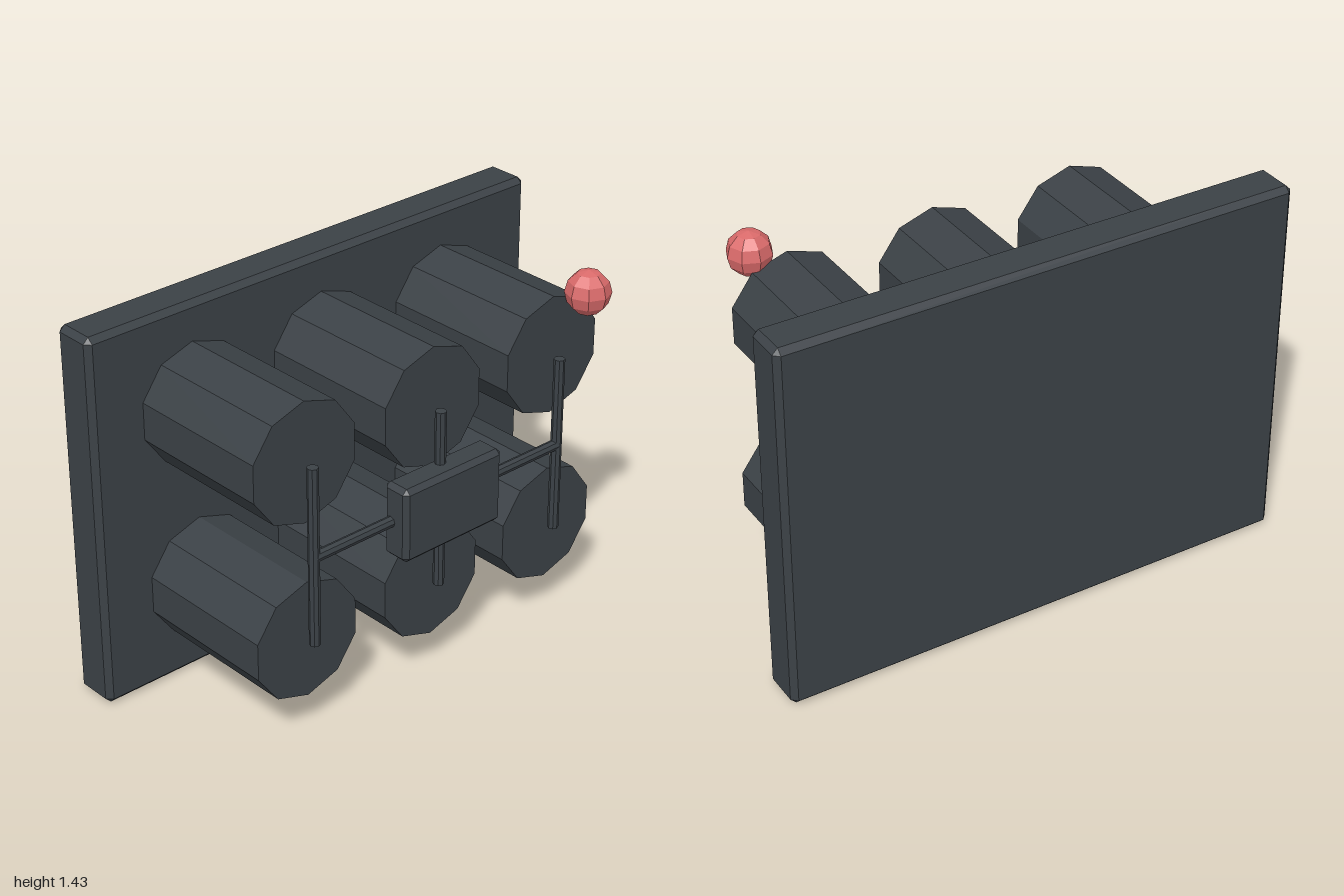
import * as THREE from 'three';
import { ConvexGeometry } from 'three/addons/geometries/ConvexGeometry.js';

export function createModel() {
  const model = new THREE.Group();
  model.name = 'drumPanel';

  const charcoal = new THREE.MeshStandardMaterial({ color: 0x3b4146, flatShading: true });
  charcoal.name = 'charcoal';
  const coral = new THREE.MeshStandardMaterial({ color: 0xd96a6a, flatShading: true });
  coral.name = 'coral red';

  const add = (name, geometry, material, x, y, z) => {
    const mesh = new THREE.Mesh(geometry, material);
    mesh.name = name;
    mesh.position.set(x, y, z);
    model.add(mesh);
    return mesh;
  };

  // Box with every edge cut at 45 degrees
  const chamferedBox = (w, h, d, c) => {
    const points = [];
    for (const sx of [-1, 1]) for (const sy of [-1, 1]) for (const sz of [-1, 1]) {
      for (let full = 0; full < 3; full++) {
        const inset = [c, c, c];
        inset[full] = 0;
        points.push(new THREE.Vector3(
          sx * (w / 2 - inset[0]), sy * (h / 2 - inset[1]), sz * (d / 2 - inset[2])));
      }
    }
    return new ConvexGeometry(points);
  };

  const midY = 0.717;
  const columns = [-0.572, 0, 0.572];

  // Upright back plate
  add('backPlate', chamferedBox(2, 1.432, 0.17, 0.021), charcoal, 0, 0.716, -0.356);

  // Two rows of three ten-sided drums, with a vertex at the top
  const drum = new THREE.CylinderGeometry(0.228, 0.228, 0.58, 10).rotateX(Math.PI / 2);
  for (const x of columns) {
    for (const y of [midY - 0.343, midY + 0.343]) add('drum', drum, charcoal, x, y, 0.011);
  }

  // Linkage rods in front of the drums
  const upright = new THREE.CylinderGeometry(0.0205, 0.0205, 0.686, 8);
  for (const x of columns) add('uprightRod', upright, charcoal, x, midY, 0.34);
  const cross = new THREE.CylinderGeometry(0.0205, 0.0205, 1.144, 8).rotateZ(Math.PI / 2);
  add('crossRod', cross, charcoal, 0, midY, 0.34);

  // Central housing
  add('housing', chamferedBox(0.455, 0.286, 0.114, 0.018), charcoal, 0, midY, 0.359);

  // Indicator ball
  add('indicatorBall', new THREE.SphereGeometry(0.084, 8, 6), coral, 0.684, 1.29, 0.358);

  return model;
}
